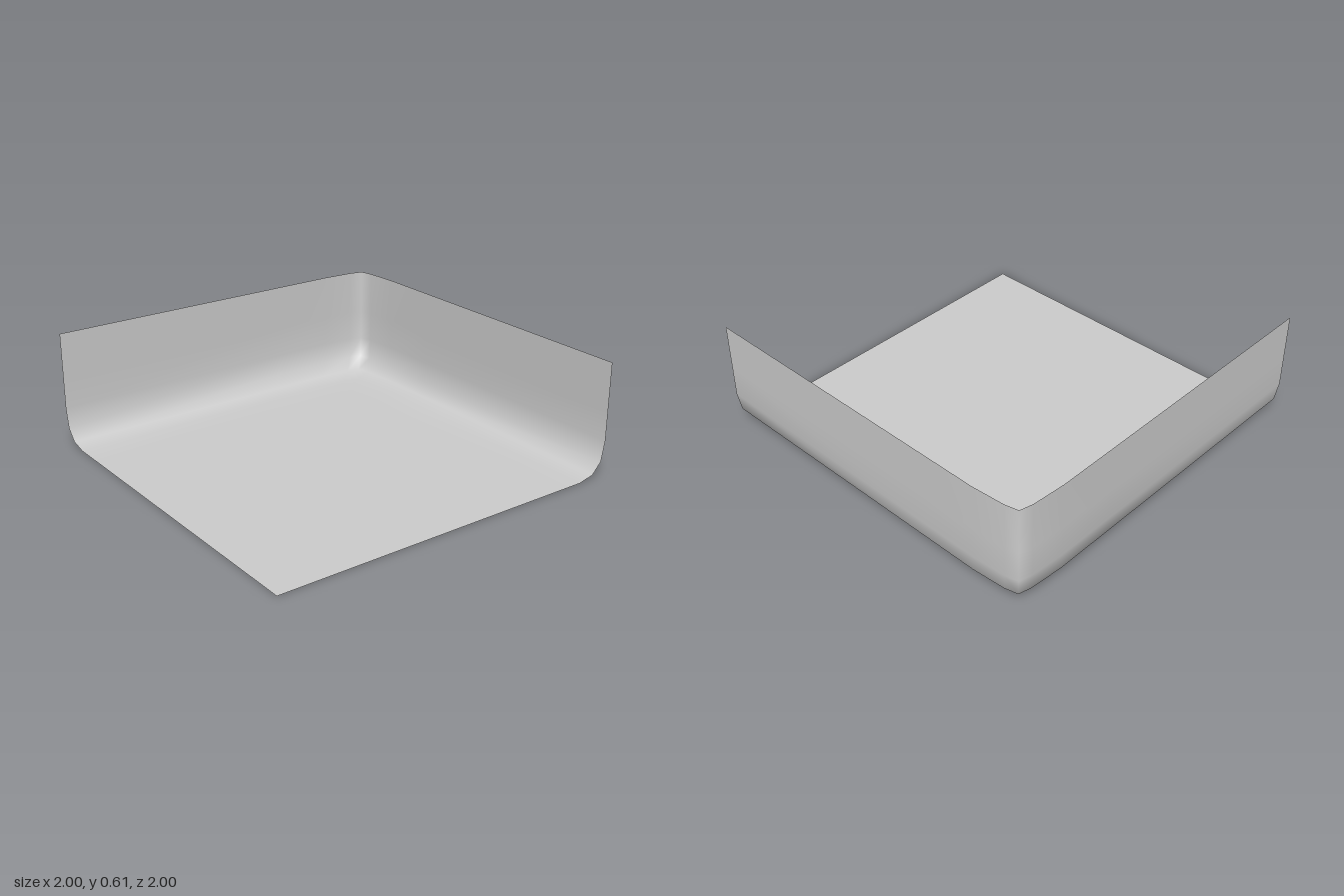
import * as THREE from 'three';

// Wall-to-floor cross-section: [inset from the outer face, height]
const PROFILE = [[0, 0.61], [0, 0.36], [0, 0.19], [0.02, 0.08], [0.075, 0.02], [0.165, 0], [0.35, 0]];
// Half of the rounded vertical corner: [distance along the wall, inset]
const CORNER = [[0.6, 0], [0.28, 0], [0.1, 0.013], [0.03, 0.03]];

// L-shaped plan path: along the left-hand wall, round the corner, along the back wall
function planPath(inset) {
  const a = -1 + inset;
  const side = CORNER.map(([along, inw]) => [a + inw, a + along]);
  const back = CORNER.slice(0, -1).reverse().map(([along, inw]) => [a + along, a + inw]);
  return [[a, 1], ...side, ...back, [1, a]];
}

export function createModel() {
  const group = new THREE.Group();
  const rings = PROFILE.map(([inset, y]) => planPath(inset).map(([x, z]) => [x, y, z]));
  // The flat floor closes on the open front corner
  rings.push(rings[0].map(() => [1, 0, 1]));

  const n = rings[0].length;
  const index = [];
  for (let r = 0; r < rings.length - 1; r++) {
    for (let i = 0; i < n - 1; i++) {
      const a = r * n + i, b = a + 1, c = a + n, d = c + 1;
      index.push(a, c, b);
      if (r < rings.length - 2) index.push(b, c, d);
    }
  }

  const geometry = new THREE.BufferGeometry();
  geometry.setAttribute('position', new THREE.Float32BufferAttribute(rings.flat(2), 3));
  geometry.setIndex(index);
  geometry.computeVertexNormals();
  // The fan's shared tip lies on the flat floor
  const normals = geometry.attributes.normal;
  for (let i = 0; i < n; i++) normals.setXYZ((rings.length - 1) * n + i, 0, 1, 0);

  const shell = new THREE.Mesh(
    geometry,
    new THREE.MeshStandardMaterial({ color: 0xcccccc, side: THREE.DoubleSide })
  );
  shell.name = 'floorAndWalls';
  group.add(shell);
  return group;
}
